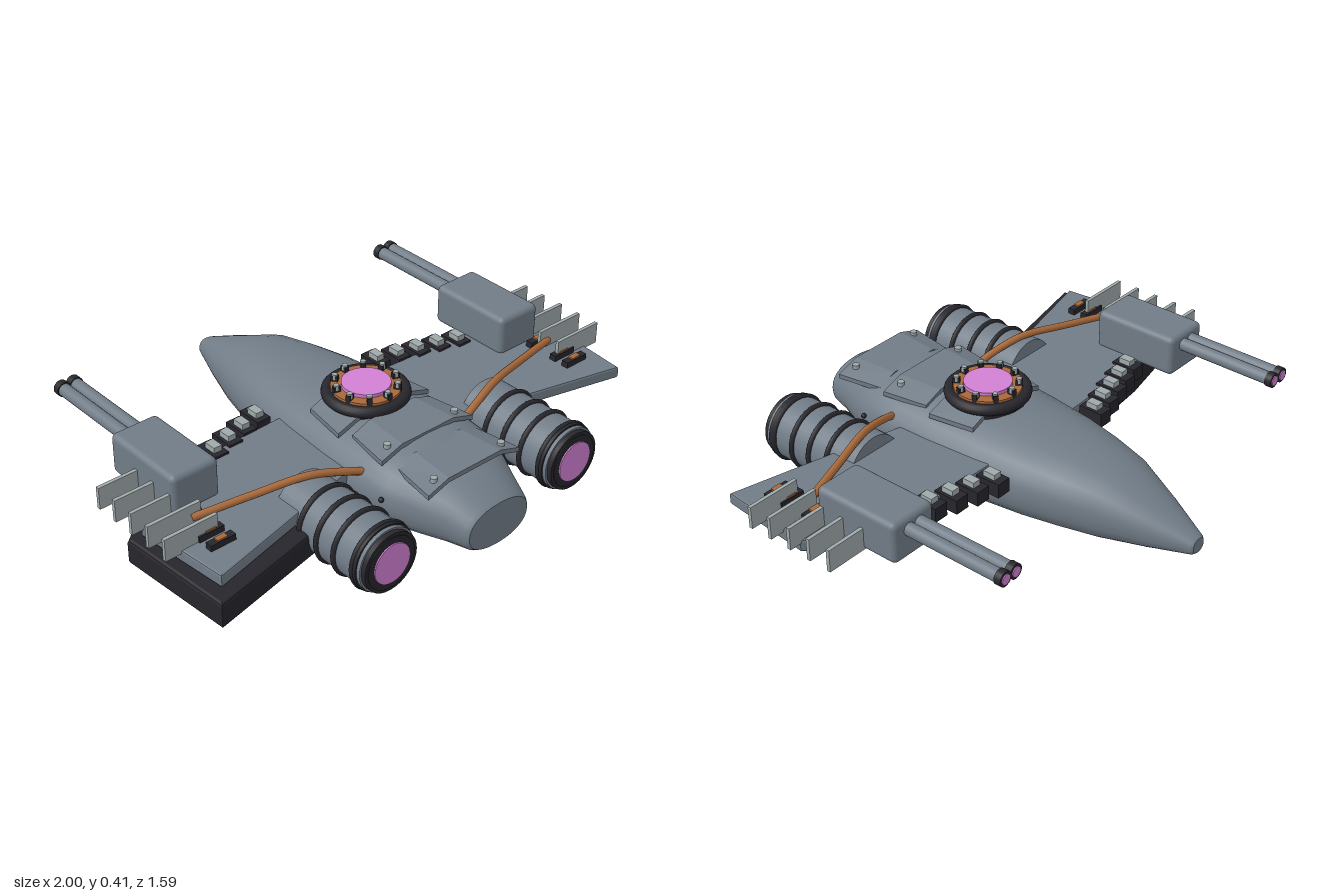
import * as THREE from 'three';
import { RoundedBoxGeometry } from 'three/addons/geometries/RoundedBoxGeometry.js';

const mat = (name, color) => {
  const m = new THREE.MeshStandardMaterial({ color });
  m.name = name;
  return m;
};

export function createModel() {
  const root = new THREE.Group();
  root.name = 'fighterCraft';
  const grey = mat('hullGrey', 0x717c87);
  const dark = mat('darkMetal', 0x26262c);
  const copper = mat('copper', 0xa9693a);
  const glow = mat('pinkGlow', 0xd180d3);
  const pale = mat('paleMetal', 0x9fa9ab);

  const add = (name, geo, material, x = 0, y = 0, z = 0, parent = root) => {
    const m = new THREE.Mesh(geo, material);
    m.name = name;
    m.position.set(x, y, z);
    parent.add(m);
    return m;
  };
  // cylinder along z
  const rod = (r, len, seg = 32) => new THREE.CylinderGeometry(r, r, len, seg).rotateX(Math.PI / 2);
  const box = (w, h, d) => new THREE.BoxGeometry(w, h, d);
  // slab from a plan outline of [x, z] points, between two heights
  const slab = (pts, y0, y1, bevel) => {
    const shape = new THREE.Shape(pts.map(([x, z]) => new THREE.Vector2(x, -z)));
    const geo = new THREE.ExtrudeGeometry(shape, {
      depth: y1 - y0 - 2 * bevel, bevelThickness: bevel, bevelSize: bevel,
      bevelOffset: -bevel, bevelSegments: 2,
    });
    return geo.rotateX(-Math.PI / 2).translate(0, y0 + bevel, 0);
  };

  // Hull: rounded sections along z as [z, half width, bottom, top]
  const stations = [
    [-0.795, 0.03, 0.09, 0.145], [-0.785, 0.04, 0.083, 0.152], [-0.63, 0.106, 0.056, 0.222],
    [-0.46, 0.17, 0.03, 0.293], [-0.32, 0.208, 0.02, 0.313], [-0.18, 0.238, 0.011, 0.326],
    [0, 0.26, 0.001, 0.338], [0.2, 0.27, 0.015, 0.347], [0.38, 0.27, 0.033, 0.351],
    [0.5, 0.258, 0.044, 0.345], [0.6, 0.222, 0.054, 0.327], [0.7, 0.175, 0.064, 0.296],
    [0.78, 0.146, 0.073, 0.258], [0.795, 0.135, 0.082, 0.248],
  ];
  const N = 28;
  const pos = [];
  const idx = [];
  const section = ([z, w, b, t]) => {
    for (let i = 0; i < N; i++) {
      const a = (i / N) * Math.PI * 2;
      const c = Math.cos(a), s = Math.sin(a);
      const p = 2 / 2.25;
      pos.push(Math.sign(c) * Math.abs(c) ** p * w,
        (b + t) / 2 + Math.sign(s) * Math.abs(s) ** p * (t - b) / 2, z);
    }
  };
  stations.forEach(section);
  for (let k = 0; k < stations.length - 1; k++) {
    for (let i = 0; i < N; i++) {
      const j = (i + 1) % N;
      const a = k * N + i, b = k * N + j, c = b + N, d = a + N;
      idx.push(a, b, c, a, c, d);
    }
  }
  // flat end caps
  [stations[0], stations[stations.length - 1]].forEach((st, e) => {
    const o = pos.length / 3;
    section(st);
    for (let i = 1; i < N - 1; i++) {
      if (e) idx.push(o, o + i, o + i + 1);
      else idx.push(o, o + i + 1, o + i);
    }
  });
  const hull = new THREE.BufferGeometry();
  hull.setAttribute('position', new THREE.Float32BufferAttribute(pos, 3));
  hull.setIndex(idx);
  hull.computeVertexNormals();
  add('hull', hull, grey);

  // Folded armour plates across the back, wider toward the rear
  const fold = new THREE.Shape([
    [-0.21, -0.03], [-0.12, 0], [0.12, 0], [0.21, -0.03],
    [0.21, -0.012], [0.12, 0.018], [-0.12, 0.018], [-0.21, -0.012],
  ].map(([x, y]) => new THREE.Vector2(x, y)));
  [[0.05, 0.335], [0.27, 0.338], [0.495, 0.322]].forEach(([z0, y], n) => {
    const geo = new THREE.ExtrudeGeometry(fold, { depth: 0.18, bevelEnabled: false });
    const p = geo.attributes.position;
    for (let i = 0; i < p.count; i++) {
      if (p.getZ(i) < 0.01) p.setX(i, p.getX(i) * 0.86);
    }
    geo.computeVertexNormals();
    add('armourPlate', geo, grey, 0, y, z0);
    if (n) {
      for (const s of [-1, 1]) {
        add('plateBolt', new THREE.CylinderGeometry(0.013, 0.013, 0.016, 12), pale, s * 0.155, y + 0.011, z0 + 0.145);
      }
    }
  });

  // Round reactor hatch on top
  const hatch = new THREE.Group();
  hatch.name = 'reactorHatch';
  hatch.position.set(0, 0, 0.135);
  root.add(hatch);
  const disc = (r, h) => new THREE.CylinderGeometry(r, r, h, 40);
  add('hatchBase', disc(0.145, 0.05), dark, 0, 0.345, 0, hatch);
  add('hatchSeal', new THREE.TorusGeometry(0.138, 0.021, 12, 48).rotateX(Math.PI / 2), dark, 0, 0.362, 0, hatch);
  add('hatchRing', disc(0.125, 0.03), copper, 0, 0.373, 0, hatch);
  add('hatchLens', disc(0.088, 0.03), glow, 0, 0.386, 0, hatch);
  for (let i = 0; i < 10; i++) {
    const a = ((i + 0.5) / 10) * Math.PI * 2;
    const b = add('hatchClamp', box(0.026, 0.028, 0.018), dark, Math.cos(a) * 0.112, 0.394, Math.sin(a) * 0.112, hatch);
    b.rotation.y = -a;
    add('clampCap', disc(0.01, 0.02), pale, Math.cos(a) * 0.112, 0.404, Math.sin(a) * 0.112, hatch);
  }

  // Dark under-wing slab on the right side only
  add('underWing', slab([[-0.2, -0.09], [-0.66, -0.04], [-0.89, 0.01], [-1, 0.1], [-0.97, 0.558], [-0.2, 0.395]],
    0.1, 0.197, 0.012), dark);

  for (const s of [-1, 1]) {
    const side = new THREE.Group();
    side.name = s > 0 ? 'leftWingAssembly' : 'rightWingAssembly';
    root.add(side);
    const put = (name, geo, m, x, y, z) => add(name, geo, m, s * x, y, z, side);

    // Wing
    add('wing', slab([[0.15, -0.07], [0.62, -0.055], [0.84, 0.015], [0.955, 0.12], [0.92, 0.495], [0.15, 0.31]]
      .map(([x, z]) => [s * x, z]), 0.2, 0.247, 0.008), grey, 0, 0, 0, side);

    // Engine with bands and glowing nozzle
    put('engine', rod(0.119, 0.42), grey, 0.425, 0.185, 0.505);
    for (const z of [0.42, 0.505, 0.59, 0.68]) {
      put('engineBand', new THREE.TorusGeometry(0.119, 0.0105, 10, 40), dark, 0.425, 0.185, z);
    }
    put('engineRearBand', rod(0.125, 0.022, 40), dark, 0.425, 0.185, 0.69);
    put('nozzle', rod(0.112, 0.022), dark, 0.425, 0.185, 0.723);
    put('nozzleCore', rod(0.1, 0.03), dark, 0.425, 0.185, 0.722);
    put('nozzleGlow', rod(0.076, 0.03), glow, 0.425, 0.185, 0.727);

    // Cannon housing with twin barrels
    put('cannonHousing', new RoundedBoxGeometry(0.19, 0.158, 0.35, 3, 0.022), grey, 0.75, 0.312, -0.025);
    for (const o of [-0.025, 0.025]) {
      put('barrel', rod(0.024, 0.42, 20), grey, 0.75 + o, 0.346, -0.38);
      put('muzzle', rod(0.028, 0.026, 20), dark, 0.75 + o, 0.346, -0.59);
      put('muzzleGlow', rod(0.019, 0.006, 20), glow, 0.75 + o, 0.346, -0.604);
    }

    // Cooling fins at the wing tip
    for (let i = 0; i < 5; i++) {
      put('coolingFin', box(0.21, 0.085, 0.014), pale, 0.895, 0.278, -0.055 + i * 0.09);
    }

    // Connector blocks on the wing
    for (const z of [0.185, 0.305, 0.365]) {
      put('connector', box(0.1, 0.026, 0.028), dark, 0.82, 0.257, z);
      put('connectorCore', box(0.04, 0.008, 0.022), copper, 0.82, 0.272, z);
    }

    // Vent blocks along the leading edge
    for (let i = 0; i < 5; i++) {
      const x = 0.285 + i * 0.08, z = -0.13 + i * 0.0235;
      put('ventBlock', box(0.058, 0.055, 0.1), dark, x, 0.228, z);
      put('ventCap', box(0.034, 0.024, 0.05), pale, x, 0.265, z + 0.003);
    }

    // Copper feed pipe from hull to wing tip
    const path = new THREE.CatmullRomCurve3([
      [0.23, 0.262, 0.385], [0.3, 0.285, 0.37], [0.43, 0.312, 0.335], [0.62, 0.295, 0.28], [0.83, 0.272, 0.222],
    ].map(([x, y, z]) => new THREE.Vector3(s * x, y, z)));
    add('feedPipe', new THREE.TubeGeometry(path, 24, 0.014, 10), copper, 0, 0, 0, side);

    // Small hull stud
    put('hullStud', new THREE.SphereGeometry(0.01, 10, 8), dark, 0.262, 0.225, 0.505);
  }
  return root;
}
